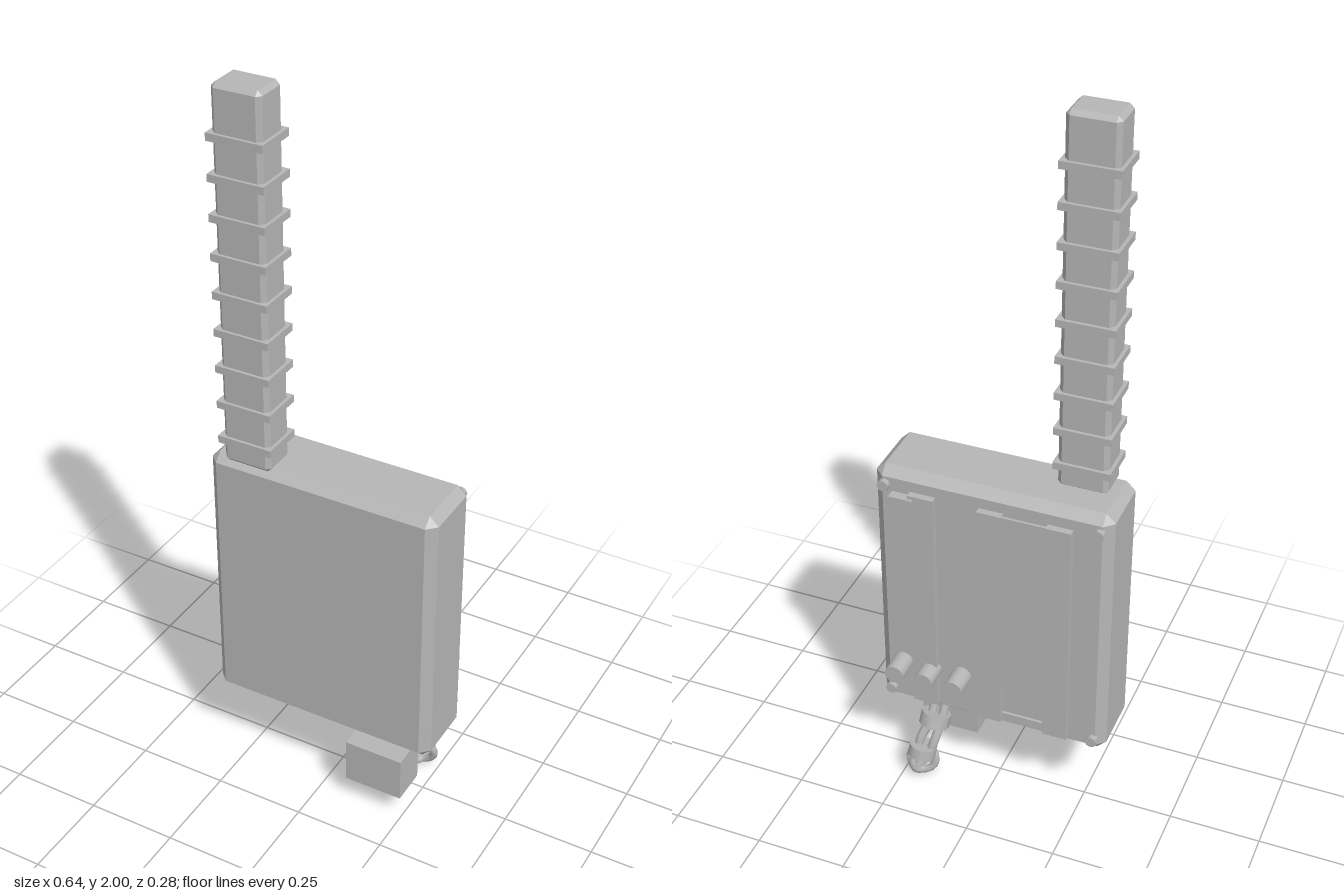
import * as THREE from 'three';
import { ConvexGeometry } from 'three/addons/geometries/ConvexGeometry.js';

const grey = new THREE.MeshStandardMaterial({ color: 0xb6b6b6 });
grey.name = 'plain grey';
const V = (x, y, z) => new THREE.Vector3(x, y, z);

// Box between two corners
function box(name, x0, x1, y0, y1, z0, z1) {
  const m = new THREE.Mesh(new THREE.BoxGeometry(x1 - x0, y1 - y0, z1 - z0), grey);
  m.position.set((x0 + x1) / 2, (y0 + y1) / 2, (z0 + z1) / 2);
  m.name = name;
  return m;
}

// Box between two corners with every edge chamfered by b
function chamferBox(name, x0, x1, y0, y1, z0, z1, b) {
  const w = (x1 - x0) / 2, h = (y1 - y0) / 2, d = (z1 - z0) / 2, pts = [];
  for (const i of [-1, 1]) for (const j of [-1, 1]) for (const k of [-1, 1]) {
    pts.push(V(i * w, j * (h - b), k * (d - b)));
    pts.push(V(i * (w - b), j * h, k * (d - b)));
    pts.push(V(i * (w - b), j * (h - b), k * d));
  }
  const m = new THREE.Mesh(new ConvexGeometry(pts), grey);
  m.position.set((x0 + x1) / 2, (y0 + y1) / 2, (z0 + z1) / 2);
  m.name = name;
  return m;
}

// Cylinder running from point a to point b
function rod(name, a, b, r, sides) {
  const dir = b.clone().sub(a);
  const m = new THREE.Mesh(new THREE.CylinderGeometry(r, r, dir.length(), sides), grey);
  m.position.copy(a).add(b).multiplyScalar(0.5);
  m.quaternion.setFromUnitVectors(V(0, 1, 0), dir.normalize());
  m.name = name;
  return m;
}

function tube(name, points, r) {
  const curve = new THREE.CatmullRomCurve3(points);
  const m = new THREE.Mesh(new THREE.TubeGeometry(curve, 16, r, 8), grey);
  m.name = name;
  return m;
}

export function createModel() {
  const model = new THREE.Group();
  model.name = 'radioPack';

  // Main case
  model.add(chamferBox('case', -0.322, 0.322, 0.23, 1.0, -0.07, 0.131, 0.025));

  // Square aerial with evenly spaced collars
  const aerial = new THREE.Group();
  aerial.name = 'aerial';
  aerial.add(chamferBox('aerialMast', -0.272, -0.138, 0.99, 2.0, 0.031, 0.131, 0.012));
  for (let i = 0; i < 9; i++) {
    const y = 1.057 + i * 0.1016;
    aerial.add(box('aerialCollar', -0.281, -0.129, y - 0.01, y + 0.01, 0.022, 0.139));
  }
  model.add(aerial);

  // Loose block hanging below the front
  model.add(box('lowerBlock', 0.085, 0.25, 0.077, 0.205, 0.037, 0.139));

  // Back rails, the panel between two of them, and small plates
  for (const [a, b] of [[-0.222, -0.154], [-0.035, 0.031], [0.15, 0.22]])
    model.add(box('backRail', a, b, 0.265, 0.945, -0.089, -0.065));
  model.add(box('backPanel', -0.154, -0.035, 0.38, 0.945, -0.088, -0.081));
  model.add(box('bottomPlate', -0.154, -0.035, 0.262, 0.29, -0.078, -0.068));
  model.add(box('topTag', 0.205, 0.27, 0.9, 0.935, -0.096, -0.068));

  // Corner screws
  for (const x of [-0.29, 0.29]) for (const y of [0.275, 0.953])
    model.add(rod('screw', V(x, y, -0.065), V(x, y, -0.085), 0.016, 8));

  // Round knobs
  for (const x of [0.084, 0.17, 0.254])
    model.add(rod('knob', V(x, 0.378, -0.065), V(x, 0.378, -0.138), 0.027, 20));

  // Cord with two collars and looped end
  const cord = new THREE.Group();
  cord.name = 'cord';
  cord.add(rod('cordCollar', V(0.17, 0.2, -0.05), V(0.174, 0.165, -0.063), 0.042, 10));
  for (const s of [-1, 1]) {
    cord.add(tube('cordStrand', [
      V(0.165 + s * 0.015, 0.24, -0.03), V(0.17 + s * 0.016, 0.18, -0.057),
      V(0.185 + s * 0.02, 0.12, -0.088), V(0.195 + s * 0.015, 0.07, -0.1)], 0.013));
  }
  cord.add(rod('lowerCollar', V(0.193, 0.108, -0.092), V(0.197, 0.075, -0.1), 0.04, 10));
  for (const [tilt, turn] of [[0.25, 0.2], [0.3, 1.1]]) {
    const loop = new THREE.Mesh(new THREE.TorusGeometry(0.037, 0.011, 8, 14), grey);
    loop.name = 'cordLoop';
    loop.position.set(0.2, 0.05, -0.085);
    loop.rotation.set(tilt, turn, 0);
    cord.add(loop);
  }
  model.add(cord);

  return model;
}
